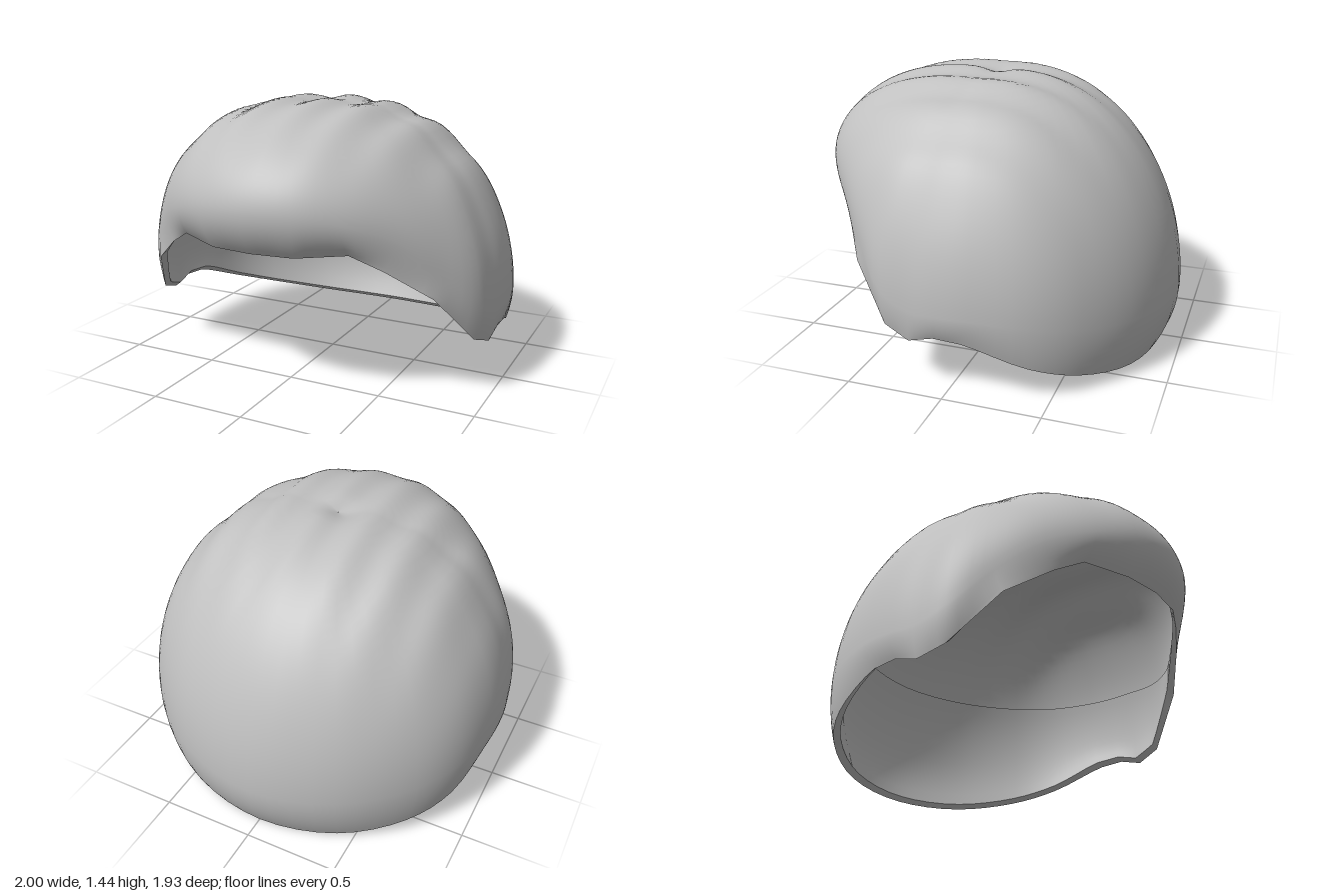
import * as THREE from 'three';

// Stations from front centre round the +x side to the back centre.
// widest: where the cap bulges most; hem: outer lower edge.
const widest = [
  [0, 0.99, 0.965], [0.24, 0.98, 0.925], [0.44, 0.95, 0.82], [0.64, 0.87, 0.66], [0.81, 0.7, 0.5],
  [0.95, 0.5, 0.33], [0.985, 0.43, 0.17], [1, 0.43, 0.03], [0.99, 0.43, -0.14], [0.92, 0.4, -0.4],
  [0.77, 0.36, -0.62], [0.44, 0.32, -0.86], [0, 0.3, -0.965],
];
const hem = [
  [0, 0.785, 0.88], [0.22, 0.785, 0.855], [0.45, 0.8, 0.75], [0.59, 0.72, 0.67], [0.79, 0.57, 0.53],
  [0.93, 0.32, 0.32], [0.965, 0.27, 0.18], [0.97, 0.305, 0.05], [0.965, 0.295, -0.09], [0.89, 0.18, -0.4],
  [0.73, 0.1, -0.61], [0.42, 0.03, -0.8], [0, 0.005, -0.88],
];

const STEPS = 4;
const SEG = 24 * STEPS;
const POLE_Z = 0.05;
const TOP = 1.42;

// Mirror a half outline into a closed ring: smooth behind straightFrom,
// with straight runs between the stations in front of it.
function loop(half, straightFrom) {
  const mirrored = half.slice(1, -1).reverse().map(([x, y, z]) => [-x, y, z]);
  const points = [...half, ...mirrored].map((p) => new THREE.Vector3(...p));
  const curve = new THREE.CatmullRomCurve3(points, true, 'centripetal');
  return points.flatMap((p, i) => {
    const next = points[(i + 1) % points.length];
    const straight = Math.min(p.z, next.z) > straightFrom;
    return Array.from({ length: STEPS }, (_, k) => straight
      ? p.clone().lerp(next, k / STEPS)
      : curve.getPoint((i * STEPS + k) / SEG));
  });
}

// Skin a list of closed rings, ordered from top to bottom on an outward face.
function skin(name, rings, material) {
  const position = rings.flat().flatMap((p) => [p.x, p.y, p.z]);
  const index = [];
  for (let j = 0; j < rings.length - 1; j++) {
    for (let i = 0; i < SEG; i++) {
      const a = j * SEG + i, b = j * SEG + ((i + 1) % SEG);
      index.push(a, a + SEG, b, b, a + SEG, b + SEG);
    }
  }
  const geometry = new THREE.BufferGeometry();
  geometry.setAttribute('position', new THREE.Float32BufferAttribute(position, 3));
  geometry.setIndex(index);
  geometry.computeVertexNormals();
  const mesh = new THREE.Mesh(geometry, material);
  mesh.name = name;
  return mesh;
}

// Point of the band that tucks in from the widest line (t = 0) to the hem (t = 1).
function bandPoint(w, e, t) {
  return new THREE.Vector3(
    w.x + (e.x - w.x) * t * t, w.y + (e.y - w.y) * t, w.z + (e.z - w.z) * t * t);
}

// Crown dome with lengthwise waves, then the band down to the hem.
function shellRings(wide, edge) {
  const rings = [];
  const ROWS = 32, BAND = 8;
  for (let j = 0; j <= ROWS; j++) {
    const angle = (1 - j / ROWS) * Math.PI / 2;
    const r = Math.max(Math.cos(angle), 0.002), s = Math.sin(angle);
    rings.push(wide.map((p) => {
      const x = p.x * r, z = (p.z - POLE_Z) * r;
      const dimple = 0.025 * Math.exp(-(x * x + z * z) / 0.006);
      const wave = (0.012 + 0.012 * Math.abs(x)) * Math.cos((x - 0.05) * Math.PI * 2 / 0.25);
      const fullness = 0.1 * s * s * r + 0.05 * Math.abs(x) * s * r;
      const y = p.y + (TOP - p.y) * s + s * s * (wave - dimple) + fullness;
      return new THREE.Vector3(x, y, POLE_Z + z);
    }));
  }
  for (let j = 1; j <= BAND; j++) rings.push(wide.map((p, i) => bandPoint(p, edge[i], j / BAND)));
  return rings;
}

// Point on the inside of the shell at a given height, set in by the wall thickness.
function liningPoint(w, e, y) {
  let p;
  if (y > w.y) {
    const s = (y - w.y) / (TOP - w.y), r = Math.sqrt(1 - s * s);
    p = new THREE.Vector3(w.x * r, y, POLE_Z + (w.z - POLE_Z) * r);
  } else {
    p = bandPoint(w, e, (w.y - y) / (w.y - e.y));
  }
  return p.set(p.x * 0.96, y, POLE_Z + (p.z - POLE_Z) * 0.96);
}

export function createModel() {
  const group = new THREE.Group();
  group.name = 'hairCap';
  const grey = new THREE.MeshStandardMaterial({ color: 0xc0c0c0, side: THREE.DoubleSide });
  grey.name = 'grey';

  const wide = loop(widest, Infinity);
  const edge = loop(hem, -0.1);

  // Outer shell, open below and visible from inside at the crown
  group.add(skin('outerHair', shellRings(wide, edge), grey));

  // Lining that rises from the hem and ends part of the way up
  const ROWS = 10;
  const lining = [];
  for (let j = 0; j <= ROWS; j++) {
    lining.push(wide.map((w, i) => {
      const low = edge[i].y + 0.025, high = Math.max(0.71, low + 0.06);
      return liningPoint(w, edge[i], low + (high - low) * j / ROWS);
    }));
  }
  group.add(skin('innerLining', lining, grey));

  // Underside of the hem
  group.add(skin('hemEdge', [edge, lining[0]], grey));

  return group;
}
